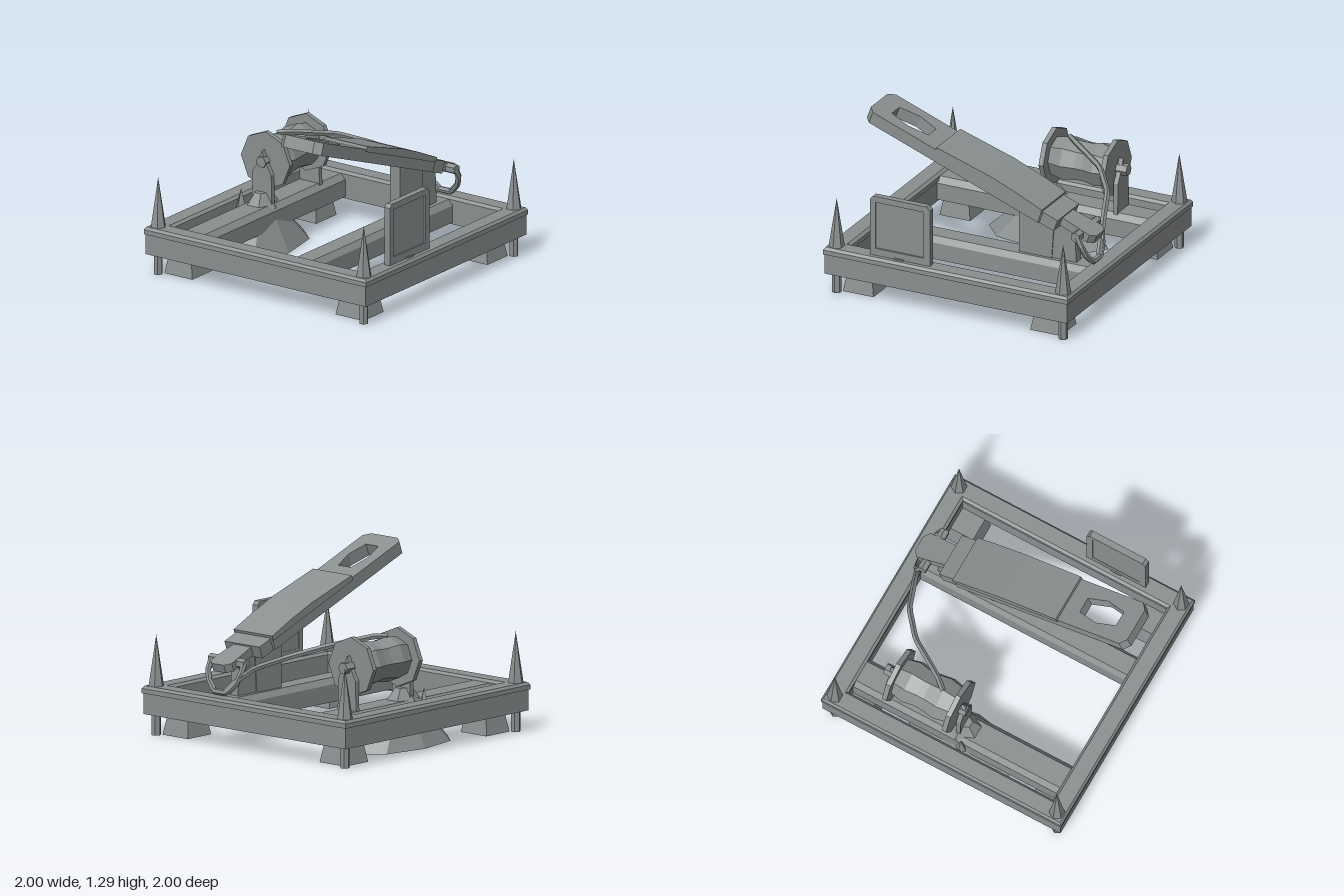
import * as THREE from 'three';

export function createModel() {
  const model = new THREE.Group();
  const grey = new THREE.MeshStandardMaterial({ color: 0x8a8f90, flatShading: true });
  const add = (name, geometry, x = 0, y = 0, z = 0, parent = model) => {
    const mesh = new THREE.Mesh(geometry, grey);
    mesh.name = name;
    mesh.position.set(x, y, z);
    parent.add(mesh);
    return mesh;
  };
  const vec2 = (pts) => pts.map(([x, y]) => new THREE.Vector2(x, y));
  const shapeOf = (pts) => new THREE.Shape(vec2(pts));
  const extrude = (shape, depth) => new THREE.ExtrudeGeometry(shape, { depth, bevelEnabled: false });
  const box = (w, h, d) => new THREE.BoxGeometry(w, h, d);

  // Tapered block standing on y = 0
  const frustum = (bottom, top, h) => {
    const g = box(bottom, h, bottom);
    const p = g.attributes.position;
    for (let i = 0; i < p.count; i++) {
      if (p.getY(i) > 0) p.setXYZ(i, p.getX(i) * top / bottom, p.getY(i), p.getZ(i) * top / bottom);
    }
    return g.translate(0, h / 2, 0);
  };

  // Straight-sided bar through a list of points
  const tube = (pts, r, sides) => {
    const path = new THREE.CurvePath();
    const v = pts.map((p) => new THREE.Vector3(...p));
    for (let i = 1; i < v.length; i++) path.add(new THREE.LineCurve3(v[i - 1], v[i]));
    return new THREE.TubeGeometry(path, 24, r, sides, false);
  };

  // Square mitred frame with an overhanging lip
  const rim = [[0.99, 0.155], [0.99, 0.31], [1, 0.31], [1, 0.345], [0.985, 0.365],
    [0.87, 0.365], [0.85, 0.345], [0.85, 0.31], [0.856, 0.31], [0.856, 0.155], [0.99, 0.155]]
    .map(([r, y]) => [r * Math.SQRT2, y]);
  add('frame', new THREE.LatheGeometry(vec2(rim), 4, Math.PI / 4));

  // Cross beams with chamfered tops
  const crossBeam = (name, z, half) => {
    const s = shapeOf([[-half, 0.17], [half, 0.17], [half, 0.3], [half * 0.7, 0.345],
      [-half * 0.7, 0.345], [-half, 0.3]]);
    add(name, extrude(s, 1.72).rotateY(Math.PI / 2), -0.86, 0, z);
  };
  crossBeam('rearCrossBeam', -0.66, 0.12);
  crossBeam('frontCrossBeam', 0.325, 0.1);

  // Corner spikes, pegs and feet
  for (const sx of [-1, 1]) {
    for (const sz of [-1, 1]) {
      add('cornerSpike', new THREE.ConeGeometry(0.06, 0.385, 6), sx * 0.925, 0.55, sz * 0.925);
      add('cornerPeg', new THREE.CylinderGeometry(0.035, 0.035, 0.18, 6), sx * 0.925, 0.09, sz * 0.925);
      add('cornerFoot', frustum(0.25, 0.19, 0.17), sx * 0.765, 0, sz * 0.77);
    }
  }

  // Ground mound under the spool, with a broken tip poking through the beam
  add('mound', new THREE.CylinderGeometry(0.17, 0.49, 0.3, 8).scale(1, 1, 0.46), 0, 0.15, -0.65);
  add('moundTip', new THREE.CylinderGeometry(0.07, 0.16, 0.11, 6).scale(1, 1, 0.75), 0, 0.375, -0.66);
  add('moundShard', new THREE.ConeGeometry(0.045, 0.16, 4), -0.06, 0.36, -0.81);

  // Upright panel: border with a recessed middle
  const px = [-0.64, -0.15];
  const border = shapeOf([[px[0], 0.35], [px[1], 0.35], [px[1], 0.805], [px[1] - 0.025, 0.832],
    [px[0] + 0.025, 0.832], [px[0], 0.805]]);
  border.holes.push(new THREE.Path(vec2([[-0.595, 0.42], [-0.595, 0.785], [-0.2, 0.785], [-0.2, 0.42]])));
  add('panelBorder', extrude(border, 0.05), 0, 0, 0.903);
  add('panelMiddle', box(0.4, 0.37, 0.034), -0.397, 0.602, 0.922);
  add('panelTab', box(0.08, 0.03, 0.07), -0.4, 0.36, 0.928);

  // Spool: octagonal flanges, bulging drum, hexagonal axle
  const spool = new THREE.Group();
  spool.name = 'spool';
  spool.position.set(0, 0.66, -0.655);
  model.add(spool);
  for (const x of [0.045, 0.543]) {
    add('flange', new THREE.CylinderGeometry(0.22, 0.22, 0.038, 8).rotateZ(-Math.PI / 2), x, 0, 0, spool);
  }
  const drum = [[0.145, 0.05], [0.155, 0.09], [0.172, 0.17], [0.155, 0.28], [0.155, 0.34],
    [0.172, 0.43], [0.145, 0.54]];
  add('drum', new THREE.LatheGeometry(vec2(drum), 8).rotateZ(-Math.PI / 2), 0, 0, 0, spool);
  add('axle', new THREE.CylinderGeometry(0.045, 0.045, 0.68, 6).rotateZ(-Math.PI / 2), 0.31, 0, 0, spool);

  // Pointed stands holding the axle
  const stand = shapeOf([[-0.09, 0.33], [0.09, 0.33], [0.085, 0.57], [0.035, 0.66], [0, 0.745],
    [-0.035, 0.66], [-0.085, 0.57]]);
  for (const x of [-0.018, 0.57]) {
    add('spoolStand', extrude(stand, 0.036).rotateY(Math.PI / 2), x, 0, -0.655);
  }

  // Support post under the lever, in two steps
  const post = (name, pts, d) => add(name, extrude(shapeOf(pts), d), 0, 0, 0.325 - d / 2);
  post('leverPost', [[0.28, 0.33], [0.545, 0.33], [0.57, 0.68], [0.28, 0.78]], 0.09);
  post('leverPostBrace', [[0.54, 0.33], [0.745, 0.33], [0.73, 0.6], [0.55, 0.67]], 0.075);

  // Tilted lever, built along local x
  const lever = new THREE.Group();
  lever.name = 'lever';
  lever.position.set(-0.12, 0.954, 0.325);
  lever.rotation.z = -0.358;
  model.add(lever);
  const slab = (name, shape, bottom, top) =>
    add(name, extrude(shape, top - bottom).rotateX(Math.PI / 2), 0, top, 0, lever);

  const body = shapeOf([[-0.835, -0.13], [-0.79, -0.182], [0.68, -0.182], [0.69, -0.172], [0.815, -0.172],
    [0.815, 0.172], [0.69, 0.172], [0.68, 0.182], [-0.79, 0.182], [-0.835, 0.13]]);
  body.holes.push(new THREE.Path(vec2([[-0.69, -0.06], [-0.69, 0.06], [-0.53, 0.095], [-0.37, 0.06],
    [-0.37, -0.06], [-0.53, -0.095]])));
  slab('leverBody', body, -0.047, 0.047);

  // Arched cover plate on the lever
  const cover = shapeOf([[-0.24, 0.03], [0.68, 0.03], [0.68, 0.068], [0.45, 0.085], [0.22, 0.092],
    [-0.24, 0.07]]);
  add('leverCover', extrude(cover, 0.38), 0, 0, -0.19, lever);

  // Nose that widens towards the hinge
  slab('leverNose', shapeOf([[0.8, -0.085], [1.06, -0.105], [1.1, -0.06], [1.1, 0.06],
    [1.06, 0.105], [0.8, 0.085]]), -0.03, 0.035);

  // Hinge rod and U-shaped shackle
  add('hingeRod', new THREE.CylinderGeometry(0.038, 0.038, 0.35, 6).rotateX(Math.PI / 2), 0.803, 0.607, 0.325);
  const side = [[0.81, 0.61, 0.165], [0.85, 0.53, 0.165], [0.87, 0.46, 0.195], [0.89, 0.39, 0.265]];
  const mirrored = side.map(([x, y, z]) => [x, y, 0.65 - z]).reverse();
  add('shackle', tube([...side, ...mirrored], 0.023, 6));

  // Cord from the spool to the shackle
  add('cord', tube([[0.17, 0.83, -0.66], [0.25, 0.83, -0.59], [0.55, 0.77, -0.39], [0.72, 0.69, -0.18],
    [0.81, 0.59, 0.06], [0.86, 0.48, 0.2], [0.885, 0.4, 0.28]], 0.022, 5));

  return model;
}
